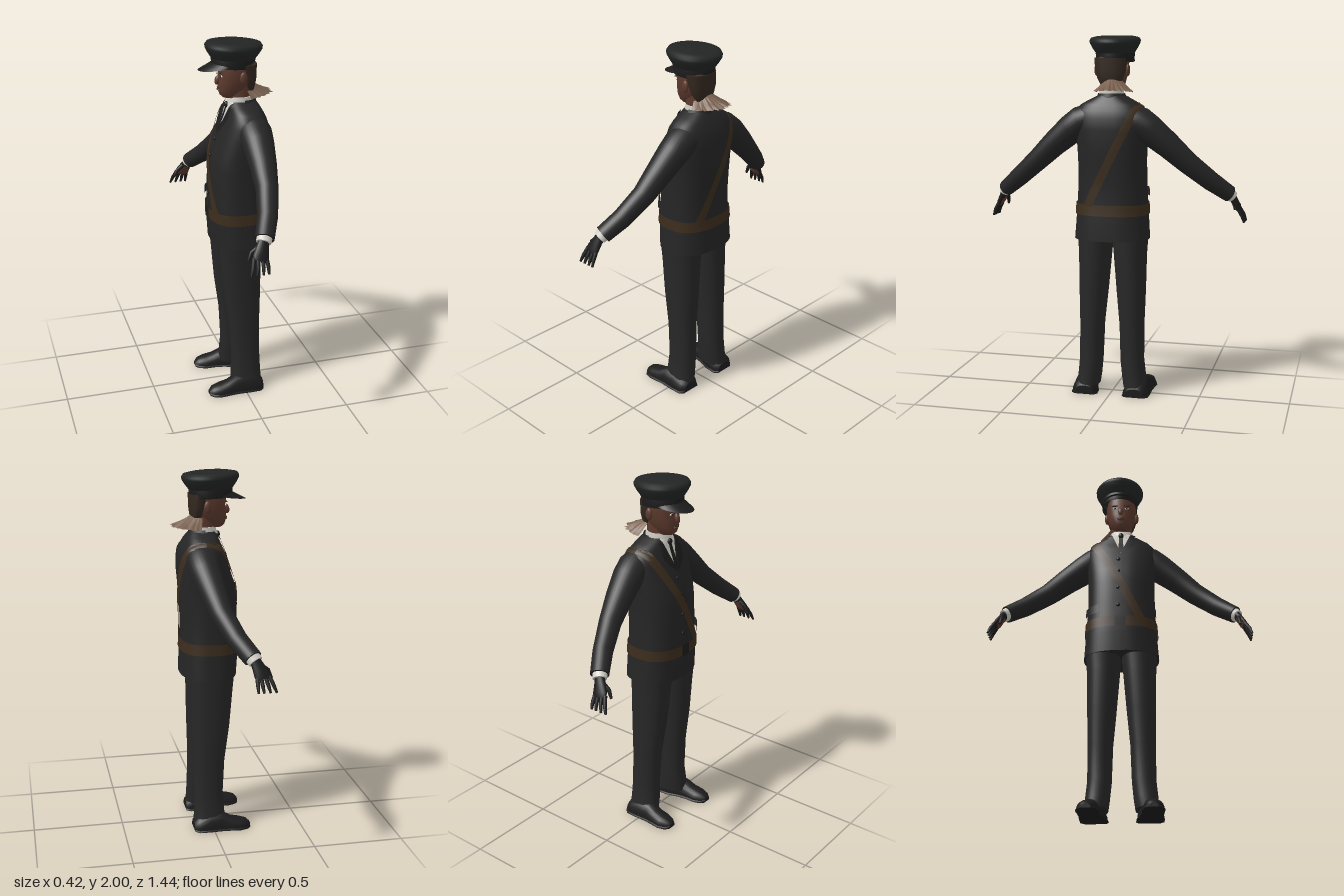
import * as THREE from 'three';

const mat = (name, color, side = THREE.FrontSide) => {
  const m = new THREE.MeshStandardMaterial({ color, side });
  m.name = name;
  return m;
};
const D = THREE.DoubleSide;
const M = {
  jacket: mat('charcoal jacket', 0x252525, D),
  trousers: mat('charcoal trousers', 0x272727),
  black: mat('black', 0x1c1c1d, D),
  hat: mat('dark cap cloth', 0x232525, D),
  leather: mat('brown leather', 0x3c2d1d, D),
  skin: mat('brown skin', 0x5c3a2e),
  hair: mat('dark hair', 0x33281f),
  white: mat('off white', 0xd2cfc6, D),
  scarf: mat('tan scarf', 0x7a6250, D),
};
const V = (x, y, z) => new THREE.Vector3(x, y, z);

// Surface through a list of point rows; closed rows become capped tubes
function skin(rows, closed) {
  const n = rows[0].length, pos = [], idx = [];
  const put = (p) => pos.push(p.x, p.y, p.z) / 3 - 1;
  rows.forEach((r) => r.forEach(put));
  for (let i = 0; i < rows.length - 1; i++) {
    for (let j = 0; j < (closed ? n : n - 1); j++) {
      const a = i * n + j, b = i * n + ((j + 1) % n);
      idx.push(a, b, a + n, b, b + n, a + n);
    }
  }
  if (closed) {
    [rows[0], rows[rows.length - 1]].forEach((r, end) => {
      const c = put(r.reduce((s, p) => s.add(p), V(0, 0, 0)).divideScalar(n));
      const k = r.map(put);
      for (let j = 0; j < n; j++) {
        const a = k[j], b = k[(j + 1) % n];
        idx.push(c, ...(end ? [a, b] : [b, a]));
      }
    });
  }
  const g = new THREE.BufferGeometry();
  g.setAttribute('position', new THREE.Float32BufferAttribute(pos, 3));
  g.setIndex(idx);
  g.computeVertexNormals();
  return g;
}
const turn = (n, f) => Array.from({ length: n }, (_, i) => f((i / n) * Math.PI * 2));
const sp = (v, e) => Math.sign(v) * Math.abs(v) ** (2 / e);

// Point on a horizontal section [y, xMin, xMax, halfWidth, zCentre]
const onSection = ([y, x0, x1, rz, cz = 0], a, e = 2, off = 0) =>
  V((x0 + x1) / 2 + ((x1 - x0) / 2 + off) * sp(Math.cos(a), e), y, cz - (rz + off) * sp(Math.sin(a), e));
const stack = (rows, e = 2, n = 48) => skin(rows.map((r) => turn(n, (a) => onSection(r, a, e))), true);

// Tube along points [position, radius toward x, radius across]
function limb(stops, n = 20) {
  return skin(stops.map(([p, ru, rv], i) => {
    const t = stops[Math.min(i + 1, stops.length - 1)][0].clone().sub(stops[Math.max(i - 1, 0)][0]).normalize();
    const u = V(1, 0, 0).addScaledVector(t, -t.x).normalize();
    const v = t.clone().cross(u);
    return turn(n, (a) => p.clone().addScaledVector(u, ru * Math.cos(a)).addScaledVector(v, rv * Math.sin(a)));
  }), true);
}

// Jacket body sections, bottom to top; the figure looks toward -x
const E = 2.5;
const TORSO = [
  [0.89, -0.15, 0.16, 0.208], [1.0, -0.158, 0.157, 0.2], [1.08, -0.158, 0.15, 0.195],
  [1.2, -0.155, 0.15, 0.188], [1.32, -0.152, 0.158, 0.188], [1.4, -0.14, 0.163, 0.19],
  [1.5, -0.105, 0.165, 0.198], [1.56, -0.085, 0.158, 0.2], [1.6, -0.068, 0.145, 0.192],
  [1.63, -0.057, 0.13, 0.165], [1.655, -0.05, 0.117, 0.12], [1.68, -0.04, 0.1, 0.07],
];
function torsoAt(y) {
  let i = 0;
  while (i < TORSO.length - 2 && TORSO[i + 1][0] < y) i++;
  const k = (y - TORSO[i][0]) / (TORSO[i + 1][0] - TORSO[i][0]);
  return TORSO[i].map((v, j) => v + (TORSO[i + 1][j] - v) * k);
}
const onTorso = (y, z, dir, off) => {
  const [, x0, x1, rz] = torsoAt(y);
  const w = rz + off, q = THREE.MathUtils.clamp(z / w, -1, 1);
  return V((x0 + x1) / 2 + dir * ((x1 - x0) / 2 + off) * (1 - Math.abs(q) ** E) ** (1 / E), y, q * w);
};
// Thin plate on the front (-1) or back (+1) between z limits that vary with height
const plate = (y0, y1, za, zb, dir, off) => skin(Array.from({ length: 33 }, (_, i) => {
  const k = i / 32, y = y0 + (y1 - y0) * k;
  return Array.from({ length: 7 }, (_, j) => onTorso(y, za(k) + (zb(k) - za(k)) * j / 6, dir, off));
}), false);
// Thin band around the body between two angles
const band = (y0, y1, a0, a1, off) => skin([y0, (y0 + y1) / 2, y1].map((y) =>
  Array.from({ length: 65 }, (_, j) => onSection(torsoAt(y), a0 + (a1 - a0) * j / 64, E, off))), false);

export function createModel() {
  const model = new THREE.Group();
  const add = (name, geo, material, parent = model) => {
    const m = new THREE.Mesh(geo, material);
    m.name = name;
    parent.add(m);
    return m;
  };
  const blob = (name, material, p, s) => {
    const m = add(name, new THREE.SphereGeometry(1, 20, 14), material);
    m.position.set(...p);
    m.scale.set(...s);
    return m;
  };

  // Jacket, belt and shoulder strap
  add('jacketBody', stack(TORSO, E), M.jacket);
  add('belt', band(1.03, 1.09, 0, Math.PI * 2, 0.007), M.leather);
  add('beltBuckle', plate(1.025, 1.095, () => -0.03, () => 0.03, -1, 0.011), M.black);
  const strapZ = (k) => 0.11 - 0.28 * k;
  for (const dir of [-1, 1]) {
    add(dir < 0 ? 'frontStrap' : 'backStrap',
      plate(1.08, 1.64, (k) => strapZ(k) - 0.026, (k) => strapZ(k) + 0.026, dir, 0.008), M.leather);
  }
  add('jacketOpening', plate(0.89, 1.5, () => 0.012, () => 0.016, -1, 0.004), M.black);
  for (const y of [1.16, 1.27, 1.38, 1.47]) {
    const p = onTorso(y, -0.012, -1, 0.004);
    blob('jacketButton', M.black, [p.x, p.y, p.z], [0.006, 0.011, 0.011]);
  }

  // Shirt front, tie and lapels
  add('shirtFront', plate(1.52, 1.678, () => 0, (k) => 0.055 * k, -1, 0.003), M.white);
  add('shirtFront', plate(1.52, 1.678, (k) => -0.055 * k, () => 0, -1, 0.003), M.white);
  add('tie', plate(1.52, 1.665, (k) => -0.016 + 0.006 * k, (k) => 0.016 - 0.006 * k, -1, 0.007), M.black);
  blob('tieKnot', M.black, [-0.056, 1.658, 0], [0.012, 0.018, 0.015]);
  add('shirtCollar', skin([[1.63, -0.058, 0.088, 0.07], [1.67, -0.052, 0.09, 0.069], [1.705, -0.04, 0.088, 0.066]]
    .map((r) => turn(32, (a) => onSection(r, a))), true), M.white);
  add('jacketCollar', skin([[1.655, 0.07, 0.112, 0.09], [1.69, 0.062, 0.103, 0.074]].map((r) =>
    Array.from({ length: 17 }, (_, j) => V(0.02 + (r[2] - 0.02) * Math.cos((j / 16 - 0.5) * 3), r[0],
      r[3] * Math.sin((j / 16 - 0.5) * 3)))), false), M.jacket);

  for (const s of [1, -1]) {
    const side = s > 0 ? 'left' : 'right';
    add(side + 'Lapel', plate(1.5, 1.67, (k) => s * 0.055 * k,
      (k) => s * (0.055 * k + 0.05 * Math.sin(Math.min(1, k * 1.25) * Math.PI * 0.8)), -1, 0.009), M.black);
    add(side + 'PocketFlap', band(1.12, 1.17, Math.PI - s * -0.55, Math.PI - s * -1.25, 0.012), M.jacket);

    // Arms; the right one swings further forward
    const P = (x, y, z) => V(x - (s < 0 ? 0.15 * Math.max(0, z - 0.2) : 0), y, s * z);
    add(side + 'Sleeve', limb([
      [P(0.055, 1.555, 0.11), 0.085, 0.08], [P(0.055, 1.535, 0.165), 0.09, 0.085],
      [P(0.055, 1.495, 0.22), 0.084, 0.081], [P(0.05, 1.41, 0.32), 0.072, 0.07],
      [P(0.04, 1.317, 0.42), 0.059, 0.06], [P(0.005, 1.215, 0.54), 0.053, 0.053],
      [P(-0.04, 1.14, 0.635), 0.05, 0.045],
    ], 28), M.jacket);
    add(side + 'Cuff', limb([[P(-0.036, 1.15, 0.625), 0.041, 0.036], [P(-0.05, 1.125, 0.648), 0.039, 0.033]]), M.white);

    // Hands: dark backs, brown palms
    add(side + 'Hand', limb([
      [P(-0.045, 1.14, 0.64), 0.026, 0.022], [P(-0.06, 1.1, 0.66), 0.034, 0.02],
      [P(-0.072, 1.065, 0.678), 0.042, 0.018], [P(-0.078, 1.045, 0.688), 0.038, 0.013],
    ]), M.black);
    add(side + 'Palm', limb([
      [P(-0.058, 1.105, 0.648), 0.022, 0.012], [P(-0.07, 1.07, 0.667), 0.034, 0.014], [P(-0.078, 1.045, 0.68), 0.03, 0.008],
    ]), M.skin);
    for (const d of [-0.032, -0.011, 0.011, 0.03]) {
      add(side + 'Finger', limb([
        [P(-0.075 + d, 1.06, 0.68), 0.011, 0.011], [P(-0.08 + d * 1.3, 1.015, 0.705), 0.01, 0.01],
        [P(-0.086 + d * 1.5, 0.98, 0.716), 0.006, 0.006],
      ], 10), M.black);
    }
    add(side + 'Thumb', limb([
      [P(-0.07, 1.11, 0.652), 0.014, 0.013], [P(-0.112, 1.08, 0.65), 0.012, 0.011], [P(-0.13, 1.04, 0.655), 0.007, 0.007],
    ], 10), M.black);

    // Trouser legs
    add(side + 'TrouserLeg', stack([
      [0.045, -0.07, 0.106, 0.066, 0.137], [0.1, -0.07, 0.103, 0.065, 0.128], [0.2, -0.062, 0.1, 0.065, 0.118],
      [0.4, -0.072, 0.098, 0.068, 0.114], [0.6, -0.1, 0.104, 0.08, 0.107], [0.8, -0.118, 0.108, 0.09, 0.1],
      [0.93, -0.13, 0.11, 0.1, 0.098],
    ].map((r) => [...r.slice(0, 4), s * r[4]]), 2.3, 32), M.trousers);

    // Shoes, with a slightly wider sole
    const shoe = (grow, top) => skin([
      [0.108, 0.05, 0.05, 0.143], [0.085, 0.075, 0.07, 0.146], [0.02, 0.1, 0.068, 0.15], [-0.05, 0.095, 0.055, 0.16],
      [-0.1, 0.068, 0.053, 0.166], [-0.15, 0.056, 0.055, 0.169], [-0.19, 0.045, 0.042, 0.17], [-0.21, 0.025, 0.02, 0.17],
    ].map(([x, h, w, z]) => turn(24, (a) =>
      V(x, Math.max(0, Math.min(h, top) * sp(Math.sin(a), 2.4)), s * z + (w + grow) * sp(Math.cos(a), 2.4)))), true);
    add(side + 'Shoe', shoe(0, 1), M.black);
    add(side + 'Sole', shoe(0.005, 0.02), M.black);

    // Ears, eyes and brows
    blob(side + 'Ear', M.skin, [0.015, 1.815, s * 0.087], [0.02, 0.033, 0.012]);
    blob(side + 'Eye', M.white, [-0.092, 1.82, s * 0.034], [0.005, 0.006, 0.013]);
    blob(side + 'Pupil', M.black, [-0.096, 1.82, s * 0.034], [0.003, 0.005, 0.006]);
    blob(side + 'Brow', M.hair, [-0.095, 1.838, s * 0.035], [0.006, 0.004, 0.02]);
  }

  // Head and neck
  add('neck', stack([[1.64, -0.035, 0.082, 0.06], [1.7, -0.045, 0.082, 0.058], [1.79, -0.05, 0.088, 0.062]]), M.skin);
  add('head', stack([
    [1.7, -0.075, -0.02, 0.028], [1.715, -0.092, 0.02, 0.045], [1.745, -0.1, 0.06, 0.064], [1.785, -0.101, 0.088, 0.077],
    [1.82, -0.096, 0.097, 0.083], [1.86, -0.1, 0.1, 0.086], [1.9, -0.09, 0.095, 0.08],
  ], 2.2), M.skin);
  add('hair', stack([
    [1.735, 0.045, 0.089, 0.05], [1.77, 0.025, 0.097, 0.07], [1.81, 0.01, 0.102, 0.084], [1.88, -0.02, 0.104, 0.09],
  ], 2.4), M.hair);
  const nose = blob('nose', M.skin, [-0.104, 1.795, 0], [0.015, 0.027, 0.015]);
  nose.rotation.z = -0.25;
  blob('mouth', M.hair, [-0.101, 1.752, 0], [0.004, 0.004, 0.022]);
  blob('lowerLip', M.skin, [-0.099, 1.744, 0], [0.008, 0.006, 0.02]);

  // Peaked cap, tipped slightly back
  const cap = new THREE.Group();
  cap.name = 'peakedCap';
  cap.position.set(-0.014, 1.93, -0.01);
  cap.rotation.z = -0.04;
  model.add(cap);
  const spin = (name, pts, m) => add(name, new THREE.LatheGeometry(
    pts.map(([r, y]) => new THREE.Vector2(r, y - 1.93)), 48), m, cap).scale.set(1.12, 1, 1);
  spin('capCrown', [[0.1, 1.9], [0.108, 1.91], [0.124, 1.935], [0.137, 1.96], [0.138, 1.974],
    [0.13, 1.988], [0.1, 1.995], [0, 1.998]], M.hat);
  spin('capBand', [[0.098, 1.862], [0.103, 1.862], [0.106, 1.906], [0.1, 1.912]], M.black);
  add('capVisor', skin([0, 0.5, 1].map((k) => Array.from({ length: 25 }, (_, j) => {
    const a = (j / 24 - 0.5) * 2.5, c = Math.cos(a);
    const out = k * Math.max(0, c - 0.31) * 0.11;
    return V(-(0.113 + out) * c, -0.046 - 0.042 * k * c, (0.1 + out * 0.4) * Math.sin(a));
  })), false), M.black, cap);

  // Ragged scarf trailing from the nape
  const ragged = (j) => 0.5 + 0.5 * Math.sin(j * 12.9898) * Math.cos(j * 4.137);
  add('raggedScarf', skin([0, 0.3, 0.65, 1].map((k) => Array.from({ length: 41 }, (_, j) => {
    const a = (j / 40 - 0.5) * 2.6;
    const r = 0.068 + k * (0.045 + (0.02 + 0.05 * ragged(j) * k) * Math.cos(a));
    return V(0.02 + r * 1.08 * Math.cos(a), 1.768 - 0.062 * k - 0.02 * (1 - Math.cos(a)) + 0.01 * k * ragged(j + 7),
      -0.012 * (1 + k) + r * 0.85 * Math.sin(a));
  })), false), M.scarf);

  return model;
}
